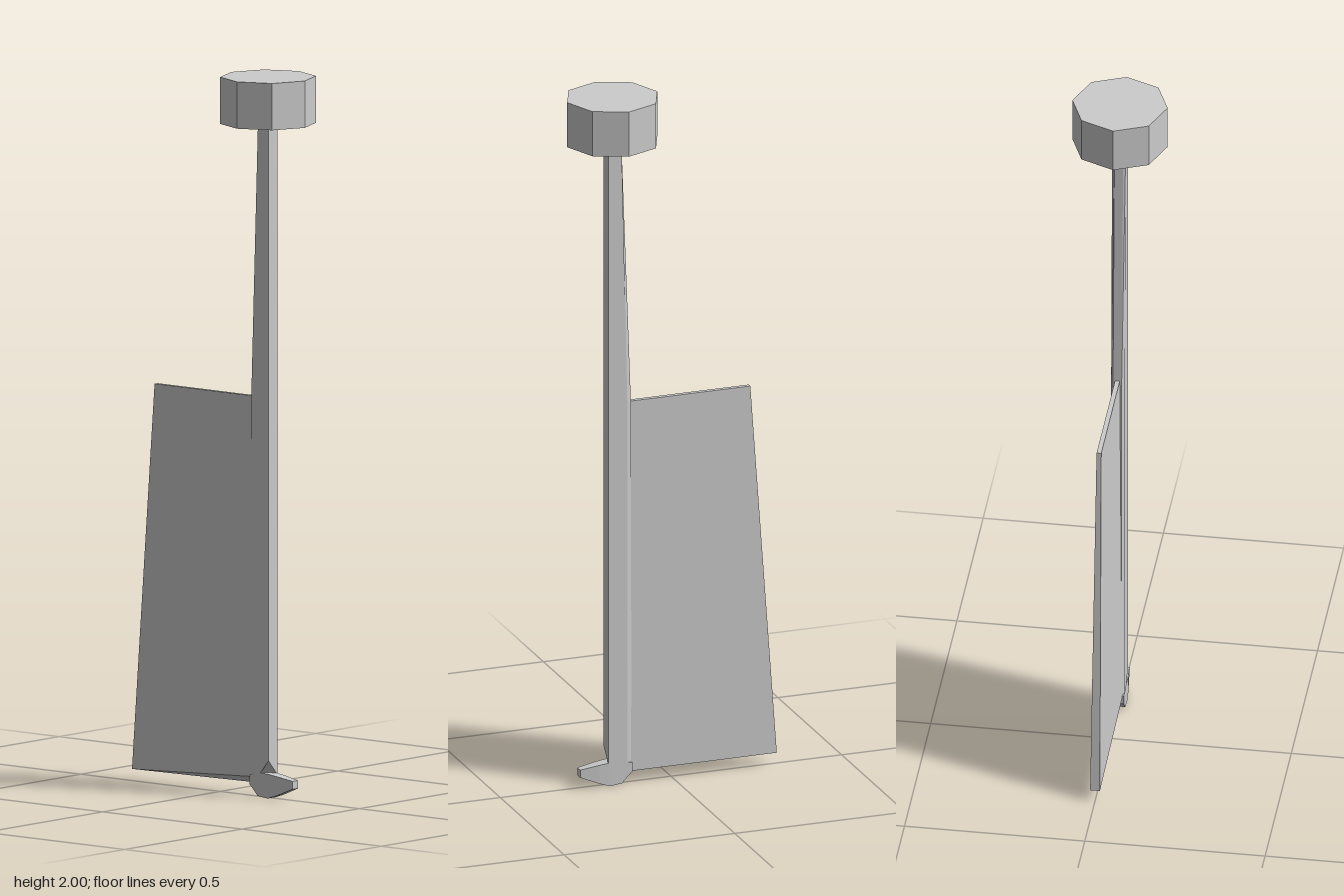
import * as THREE from 'three';

const material = new THREE.MeshStandardMaterial({ color: 0xcccccc, flatShading: true });

// Skin through matching convex rings, closed at both ends.
// Rings run counter-clockwise seen from the end the loft moves towards.
function loft(name, rings) {
  const pos = [];
  const tri = (...p) => p.forEach((v) => pos.push(...v));
  const n = rings[0].length;
  for (let r = 0; r + 1 < rings.length; r++) {
    for (let i = 0; i < n; i++) {
      const j = (i + 1) % n;
      const [a, b, c, d] = [rings[r][i], rings[r][j], rings[r + 1][j], rings[r + 1][i]];
      tri(a, b, c);
      tri(a, c, d);
    }
  }
  const first = rings[0], last = rings[rings.length - 1];
  for (let i = 1; i + 1 < n; i++) {
    tri(first[0], first[i + 1], first[i]);
    tri(last[0], last[i], last[i + 1]);
  }
  const geometry = new THREE.BufferGeometry();
  geometry.setAttribute('position', new THREE.Float32BufferAttribute(pos, 3));
  geometry.computeVertexNormals();
  const mesh = new THREE.Mesh(geometry, material);
  mesh.name = name;
  return mesh;
}

// Horizontal post section with a chamfered rear edge
function postRing(y, rear, shoulder, yFront = y) {
  const t = 0.019, e = 0.012, mid = 0.155, lead = 0.19;
  return [
    [rear, y, e], [shoulder, y, t], [mid, y, t], [lead, yFront, t],
    [lead, y, -t], [shoulder, y, -t], [rear, y, -e],
  ];
}

// Upright rectangular section of the foot
const footRing = (x, y0, y1, t) => [[x, y0, t], [x, y0, -t], [x, y1, -t], [x, y1, t]];

export function createModel() {
  const group = new THREE.Group();
  group.name = 'rudder';

  // Octagonal head on top of the post
  const head = new THREE.Mesh(new THREE.CylinderGeometry(0.132, 0.132, 0.13, 8), material);
  head.name = 'head';
  head.position.set(0.172, 1.935, 0);
  group.add(head);

  // Tapering post, its front lower corner cut away
  group.add(loft('post', [
    postRing(0.062, 0.12, 0.135, 0.105),
    postRing(1.11, 0.122, 0.135),
    postRing(1.88, 0.15, 0.152),
  ]));

  // Flat blade, thinner towards the top
  const tb = 0.0135, tt = 0.0065;
  group.add(loft('blade', [
    [[-0.305, 0.035, tb], [0.125, 0.055, tb], [0.125, 0.035, -tb], [-0.305, 0.035, -tb]],
    [[-0.23, 1.11, tt], [0.125, 1.11, tt], [0.125, 1.11, -tt], [-0.23, 1.11, -tt]],
  ]));

  // Foot with a forward-pointing toe
  group.add(loft('foot', [
    footRing(0.12, 0.035, 0.06, 0.018),
    footRing(0.15, 0.004, 0.068, 0.018),
    footRing(0.185, 0, 0.068, 0.018),
    footRing(0.215, 0.01, 0.064, 0.017),
    footRing(0.27, 0.033, 0.055, 0.012),
  ]));

  return group;
}
